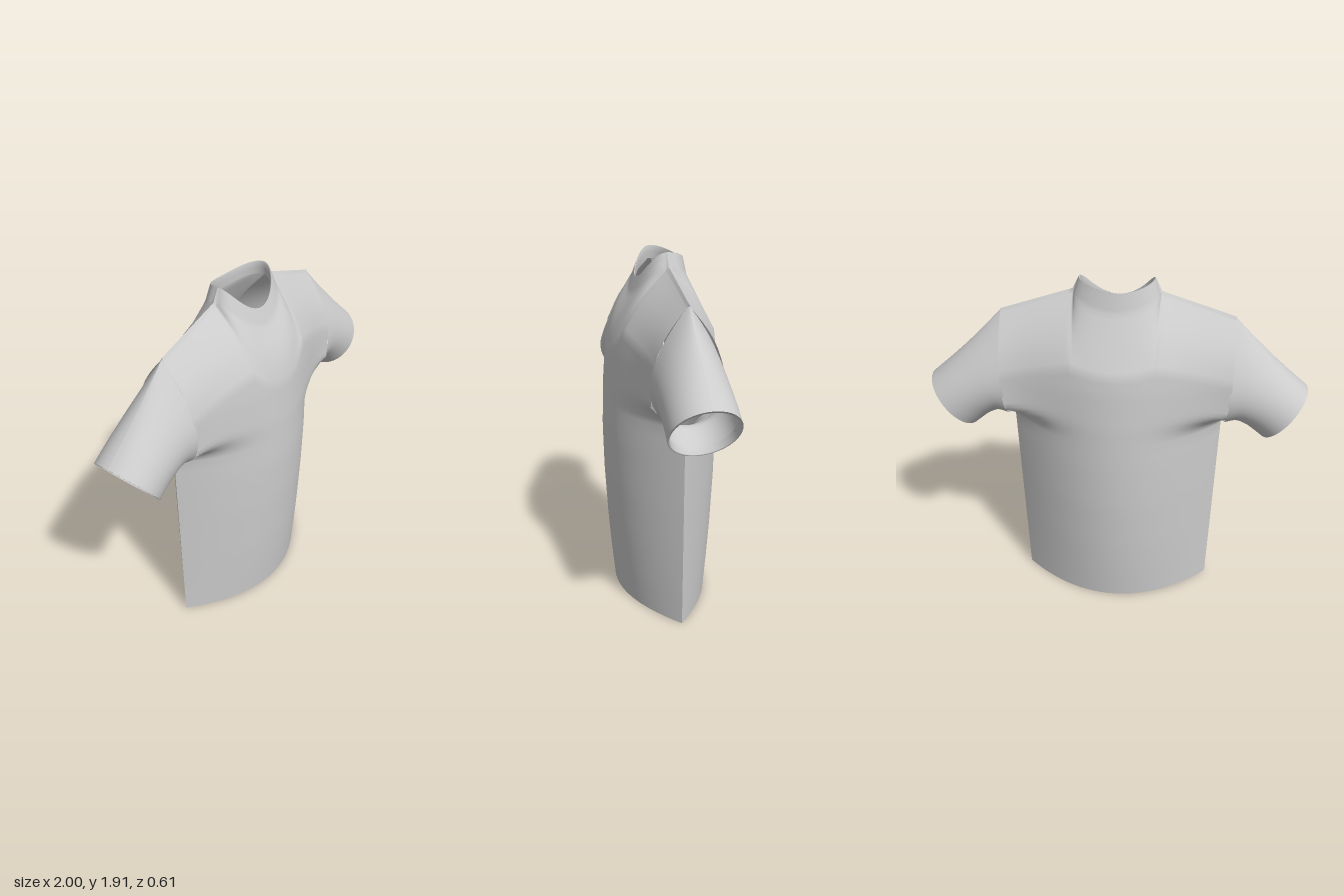
import * as THREE from 'three';

const U0 = 0.36; // share of the half width taken by the neck yoke
const { lerp, smoothstep } = THREE.MathUtils;

// piecewise linear lookup in [[key, value], ...]
function look(table, k) {
  for (let i = 1; i < table.length; i++) {
    const [a, va] = table[i - 1], [b, vb] = table[i];
    if (k <= b) return lerp(va, vb, (k - a) / (b - a));
  }
  return table[table.length - 1][1];
}

const WIDTH = [[0, 0.545], [1.12, 0.565], [1.3, 0.59], [1.4, 0.597], [1.72, 0.6]];
const DEPTH = {
  front: [[0, 0.25], [0.2, 0.27], [0.4, 0.286], [0.7, 0.302], [0.95, 0.307], [1.2, 0.298], [1.4, 0.282], [1.55, 0.262]],
  back: [[0, 0.25], [0.2, 0.27], [0.4, 0.286], [0.7, 0.302], [0.95, 0.306], [1.2, 0.302], [1.4, 0.29], [1.55, 0.272]],
};

// smooth sheet from a function of row and column
function sheet(name, rows, cols, point, material, flip = false) {
  const pos = [], index = [];
  for (let r = 0; r < rows; r++) for (let c = 0; c < cols; c++) pos.push(...point(r, c));
  for (let r = 0; r < rows - 1; r++) {
    for (let c = 0; c < cols - 1; c++) {
      const a = r * cols + c, b = a + 1, d = a + cols, e = d + 1;
      if (flip) index.push(a, d, b, b, d, e);
      else index.push(a, b, d, b, e, d);
    }
  }
  const geo = new THREE.BufferGeometry();
  geo.setAttribute('position', new THREE.Float32BufferAttribute(pos, 3));
  geo.setIndex(index);
  geo.computeVertexNormals();
  const mesh = new THREE.Mesh(geo, material);
  mesh.name = name;
  return mesh;
}

// collar rim, low at the front and higher at the back; phi = 0 is the middle
function rim(phi, front) {
  const s = Math.sin(phi), c = Math.cos(phi);
  return [0.19 * s, front ? 1.77 + 0.14 * s * s : 1.87 + 0.04 * s * s, 0.122 * c];
}

// lens-shaped trunk that opens out to the armholes at chest height
function trunk(u, y, side) {
  const bell = Math.cos(u * Math.PI / 2) ** 2;
  const k = smoothstep(y, 1.1, 1.24);
  const shape = lerp(1 - u * u, 0.6 + 0.4 * bell, k);
  return [u * look(WIDTH, y), y, look(DEPTH[side], y) * shape];
}

// one panel: hem to chest, chest fold, slope to the shoulder or collar base, collar
function panel(side, material) {
  const front = side === 'front';
  const half = [];
  for (let i = 0; i <= 14; i++) half.push(U0 * i / 14);
  for (let i = 0; i <= 16; i++) half.push(lerp(U0 + 0.012, 1, i / 16));
  const us = [...half.slice(1).reverse().map(u => -u), ...half];
  const LOW = 16, CHEST = 12, SLOPE = 12, NECK = 5;

  const point = (r, c) => {
    const u = us[c], a = Math.abs(u);
    if (r <= LOW) {
      const p = trunk(u, 1.1 * r / LOW, side);
      return front ? p : [p[0], p[1], -p[2]];
    }
    const neck = a <= U0 + 1e-6;
    const q = Math.min(a / U0, 1);
    const foldY = neck ? (front ? 1.4 + 0.12 * q * q : 1.49 + 0.03 * q * q)
      : lerp(1.52, 1.42, (a - U0) / (1 - U0));
    const fold = trunk(u, foldY, side);
    let base, top, bulge;
    if (neck) {
      const phi = u / U0 * Math.PI / 2, s = Math.sin(phi), co = Math.cos(phi);
      top = rim(phi, front);
      base = [0.217 * s, front ? 1.68 + 0.15 * s * s : 1.77 + 0.06 * s * s,
        (front ? 0.145 : 0.13) * co + 0.012];
      bulge = front ? 0.02 : 0.02 * q * q;
    } else {
      const x = u * 0.6;
      top = [x, 1.72 + (0.6 - Math.abs(x)) * 0.325, 0];
      base = fold.map((v, i) => lerp(v, top[i], 0.94));
      bulge = 0.025;
    }
    let p;
    if (r <= LOW + CHEST) {
      p = trunk(u, lerp(1.1, foldY, (r - LOW) / CHEST), side);
    } else if (r <= LOW + CHEST + SLOPE) {
      const t = (r - LOW - CHEST) / SLOPE;
      p = fold.map((v, i) => lerp(v, base[i], t));
      p[2] += bulge * Math.sin(Math.PI * t);
    } else {
      const t = (r - LOW - CHEST - SLOPE) / NECK;
      p = base.map((v, i) => lerp(v, top[i], t));
    }
    return front ? p : [p[0], p[1], -p[2]];
  };
  return sheet(side + 'Panel', LOW + CHEST + SLOPE + NECK + 1, us.length, point, material, !front);
}

// turned-in lining around the neck
function collarLining(material) {
  const rows = [[1, 0], [0.96, -0.002], [0.97, -0.035], [1, -0.07]];
  return sheet('collarLining', rows.length, 65, (r, c) => {
    const a = c / 64 * Math.PI * 2;
    const front = Math.cos(a) > 0;
    const [x, y, z] = rim(a, front);
    const [k, drop] = rows[r];
    return [x * k, y + drop, z * k];
  }, material, true);
}

// sleeve ring: pointed at the shoulder, oval at the cuff
const UNDERARM = new THREE.CatmullRomCurve3([[0.575, 1.13], [0.63, 1.147], [0.685, 1.125], [0.78, 1.05]]
  .map(([x, y]) => new THREE.Vector3(x, y, 0)));
function sleevePoint(s, a, scale, dir) {
  const low = UNDERARM.getPoint(s);
  const tx = lerp(0.6, 1.0, s), ty = lerp(1.715, 1.335, s) - 0.012 * Math.sin(Math.PI * s);
  const f = 0.5 + 0.5 * scale * Math.cos(a);
  const drop = 1.3 * 0.18 * Math.sin(a) * Math.abs(Math.sin(a / 2));
  const oval = 0.172 * Math.sin(a);
  const z = lerp(oval, drop, (1 - s) ** 1.5) * scale;
  return [dir * lerp(low.x, tx, f), lerp(low.y, ty, f), z];
}

function sleeve(dir, material) {
  const group = new THREE.Group();
  group.name = dir > 0 ? 'leftSleeve' : 'rightSleeve';
  const N = 48, ang = c => c / N * Math.PI * 2;
  group.add(sheet('sleeveTube', 21, N + 1,
    (r, c) => sleevePoint(r / 20, ang(c), 1, dir), material, dir > 0));
  // narrow turned-in cuff
  const cuff = [[1, 1], [1, 0.94], [0.9, 0.93]];
  group.add(sheet('cuffLining', 3, N + 1,
    (r, c) => sleevePoint(cuff[r][0], ang(c), cuff[r][1], dir), material, dir > 0));
  return group;
}

export function createModel() {
  const fabric = new THREE.MeshStandardMaterial({ color: 0xcccccc, side: THREE.DoubleSide });
  fabric.name = 'lightGreyFabric';
  const shirt = new THREE.Group();
  shirt.name = 'shirt';
  shirt.add(panel('front', fabric), panel('back', fabric), collarLining(fabric));
  for (const dir of [1, -1]) shirt.add(sleeve(dir, fabric));
  return shirt;
}
